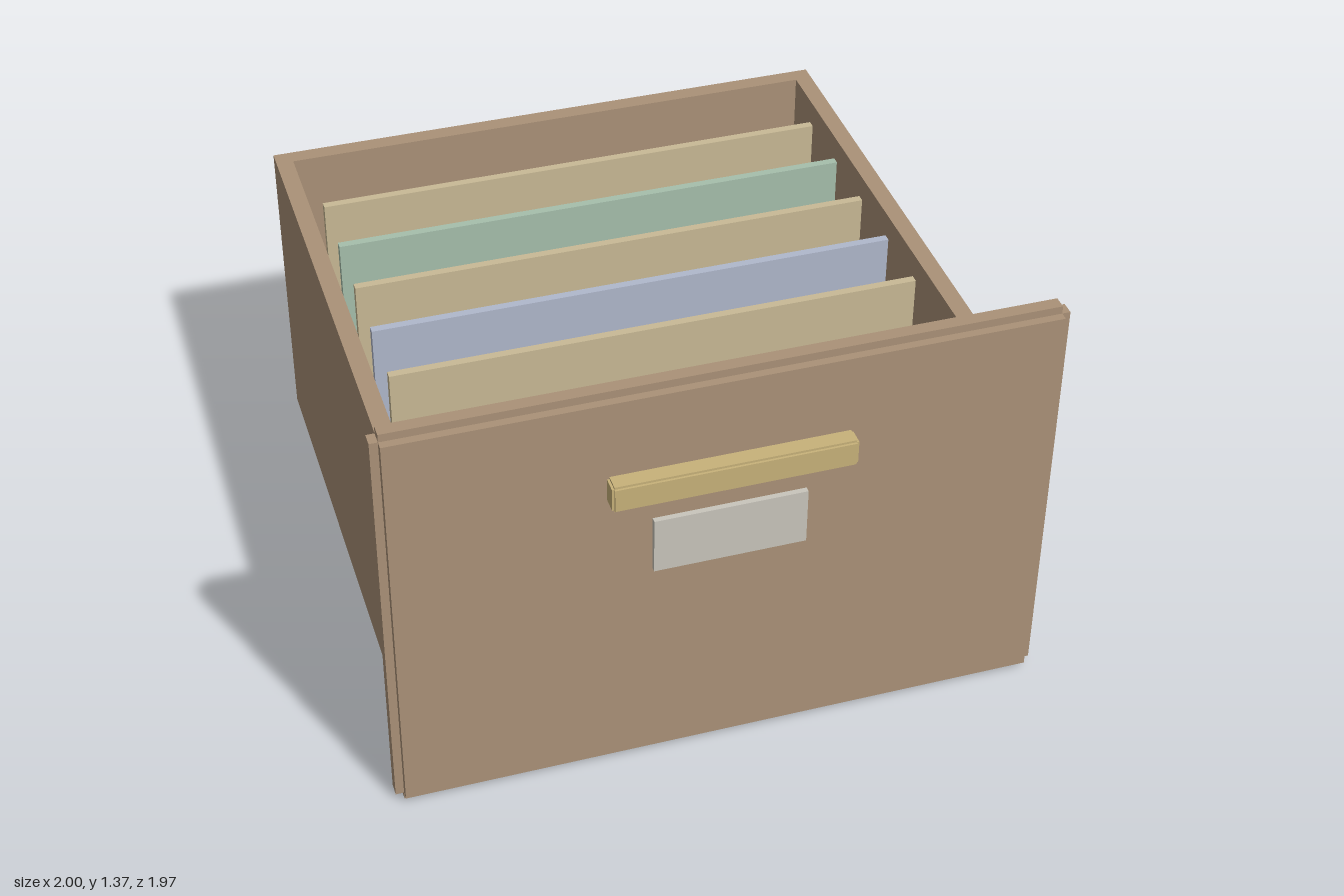
import * as THREE from 'three';

const mat = (name, color) => {
  const m = new THREE.MeshStandardMaterial({ color });
  m.name = name;
  return m;
};

export function createModel() {
  const wood = mat('wood', 0xab9278);
  const brass = mat('brass', 0xc8b27a);
  const card = mat('label card', 0xc9c6bc);
  const manila = mat('manila folder', 0xc9ba96);
  const green = mat('green folder', 0xa6bfac);
  const blue = mat('blue folder', 0xb0b8cc);

  const group = new THREE.Group();
  group.name = 'fileDrawer';

  // Box given by its [min, max] range along each axis
  const box = (name, material, [x0, x1], [y0, y1], [z0, z1], parent = group) => {
    const mesh = new THREE.Mesh(new THREE.BoxGeometry(x1 - x0, y1 - y0, z1 - z0), material);
    mesh.position.set((x0 + x1) / 2, (y0 + y1) / 2, (z0 + z1) / 2);
    mesh.name = name;
    parent.add(mesh);
  };

  // Block with stepped edges: three crossed boxes, each full size along one axis
  const steppedBlock = (name, material, ranges, step) => {
    const part = new THREE.Group();
    part.name = name;
    for (let axis = 0; axis < 3; axis++) {
      const r = ranges.map(([a, b], i) => (i === axis ? [a, b] : [a + step, b - step]));
      box(name + 'XYZ'[axis], material, ...r, part);
    }
    group.add(part);
  };

  // Front panel, handle and label
  steppedBlock('frontPanel', wood, [[-1, 1], [0, 1.367], [0.84, 0.93]], 0.025);
  steppedBlock('handle', brass, [[-0.358, 0.358], [1.005, 1.092], [0.92, 0.985]], 0.007);
  box('label', card, [-0.227, 0.227], [0.73, 0.913], [0.925, 0.947]);

  // Drawer tray: two sides, back wall and a slightly recessed floor
  const tray = [0.05, 1.05];
  box('leftSide', wood, [0.858, 0.912], tray, [-0.985, 0.842]);
  box('rightSide', wood, [-0.912, -0.858], tray, [-0.985, 0.842]);
  box('backWall', wood, [-0.858, 0.858], tray, [-0.985, -0.932]);
  box('floor', wood, [-0.858, 0.858], [0.075, 0.125], [-0.932, 0.842]);

  // Row of hanging folders, back to front
  [manila, green, manila, blue, manila].forEach((material, i) => {
    const z = -0.663 + i * 0.2275;
    box('folder' + (i + 1), material, [-0.815, 0.815], [0.125, 1.045], [z - 0.0125, z + 0.0125]);
  });

  return group;
}
